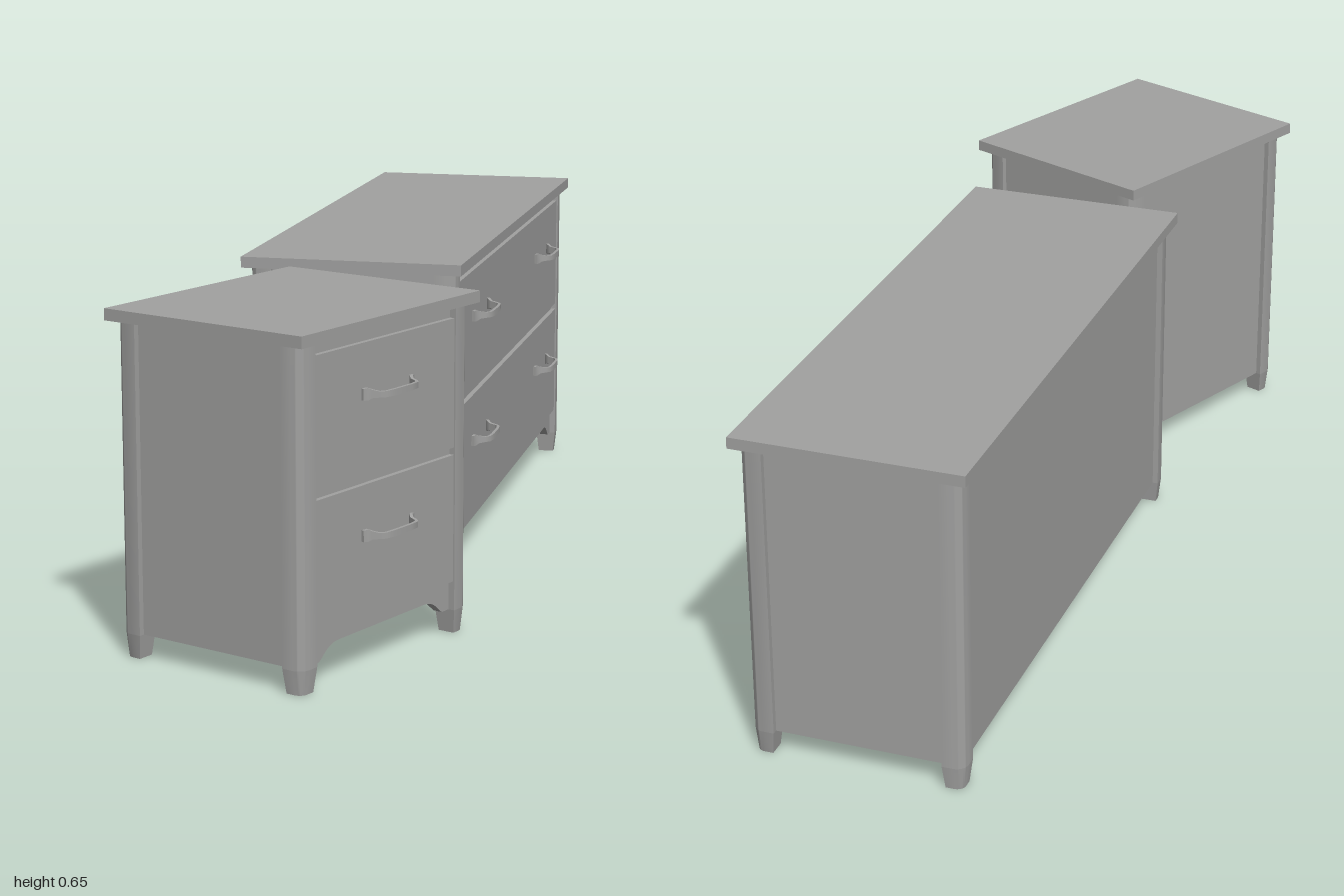
import * as THREE from 'three';
import { toCreasedNormals } from 'three/addons/utils/BufferGeometryUtils.js';

const grey = new THREE.MeshStandardMaterial({ color: 0xa1a1a0 });
grey.name = 'paintedGrey';

const DEPTH = 0.444, OVERHANG = 0.014, LEG = 0.044, RECESS = 0.011, PANEL = 0.018;
const FOOT = 0.046, TOP = 0.627, HEIGHT = 0.649;

function add(parent, name, geometry, x = 0, y = 0, z = 0) {
  const mesh = new THREE.Mesh(geometry, grey);
  mesh.name = name;
  mesh.position.set(x, y, z);
  parent.add(mesh);
  return mesh;
}

// Box given by its width, vertical span and depth span
function slab(parent, name, x, w, y0, y1, z0, z1) {
  return add(parent, name, new THREE.BoxGeometry(w, y1 - y0, z1 - z0), x, (y0 + y1) / 2, (z0 + z1) / 2);
}

// Square post with one rounded outer corner, optionally tapering downwards
function postGeometry(height, taper) {
  const h = LEG / 2, r = 0.022;
  const s = new THREE.Shape();
  s.moveTo(-h, -h);
  s.lineTo(h, -h);
  s.lineTo(h, h - r);
  s.absarc(h - r, h - r, r, 0, Math.PI / 2, false);
  s.lineTo(-h, h);
  s.closePath();
  const g = new THREE.ExtrudeGeometry(s, { depth: height, bevelEnabled: false, curveSegments: 8 });
  g.rotateX(-Math.PI / 2);
  const p = g.attributes.position;
  for (let i = 0; i < p.count; i++) {
    const k = taper + (1 - taper) * p.getY(i) / height;
    p.setX(i, p.getX(i) * k);
    p.setZ(i, p.getZ(i) * k);
  }
  return toCreasedNormals(g, 0.5);
}

// Bowed bar handle with flared end tabs, lofted from rectangles: [along, out, height]
function handleGeometry() {
  const half = [[-0.077, 0.001, 0.021], [-0.067, 0.004, 0.023], [-0.060, 0.011, 0.015],
    [-0.056, 0.023, 0.011], [-0.048, 0.030, 0.011], [-0.025, 0.033, 0.012]];
  const path = [...half, ...half.slice().reverse().map(([a, o, h]) => [-a, o, h])];
  const t = 0.003, pos = [], idx = [];
  path.forEach(([a, o, h], i) => {
    const p = path[Math.max(i - 1, 0)], q = path[Math.min(i + 1, path.length - 1)];
    const len = Math.hypot(q[0] - p[0], q[1] - p[1]);
    const nx = -(q[1] - p[1]) / len * t, nz = (q[0] - p[0]) / len * t;
    for (const [side, up] of [[1, -1], [1, 1], [-1, 1], [-1, -1]]) {
      pos.push(a + nx * side, up * h / 2, o + nz * side);
    }
    if (i > 0) {
      for (let k = 0; k < 4; k++) {
        const A = (i - 1) * 4 + k, B = (i - 1) * 4 + (k + 1) % 4;
        idx.push(A, A + 4, B, B, A + 4, B + 4);
      }
    }
  });
  const e = (path.length - 1) * 4;
  idx.push(0, 1, 2, 0, 2, 3, e, e + 2, e + 1, e, e + 3, e + 2);
  const g = new THREE.BufferGeometry();
  g.setAttribute('position', new THREE.Float32BufferAttribute(pos, 3));
  g.setIndex(idx);
  return toCreasedNormals(g, 0.7);
}

// Front apron with a shallow arch cut into its lower edge
function apronGeometry(w, y0, y1) {
  const a = w / 2, rise = y0 + 0.028, foot = a - 0.022, flat = a - 0.08;
  const s = new THREE.Shape();
  s.moveTo(-a, y0);
  s.lineTo(-foot, y0);
  s.bezierCurveTo(-foot + 0.014, y0 + 0.008, -flat - 0.032, rise, -flat, rise);
  s.lineTo(flat, rise);
  s.bezierCurveTo(flat + 0.032, rise, foot - 0.014, y0 + 0.008, foot, y0);
  s.lineTo(a, y0);
  s.lineTo(a, y1);
  s.lineTo(-a, y1);
  s.closePath();
  const g = new THREE.ExtrudeGeometry(s, { depth: PANEL, bevelEnabled: false, curveSegments: 10 });
  return toCreasedNormals(g, 0.5);
}

// Chest of two drawers, drawer fronts facing +z
function chest(name, width, handleOffsets) {
  const g = new THREE.Group();
  g.name = name;
  const hx = width / 2 - OVERHANG, hz = DEPTH / 2 - OVERHANG;
  const inner = 2 * (hx - LEG), railZ = hz - RECESS - 0.002;

  slab(g, 'top', 0, width, TOP, HEIGHT, -DEPTH / 2, DEPTH / 2);

  // Corner posts and tapered feet
  const post = postGeometry(TOP - FOOT, 1), foot = postGeometry(FOOT, 0.76);
  [[1, -1], [-1, -1], [-1, 1], [1, 1]].forEach(([sx, sz], k) => {
    const x = sx * (hx - LEG / 2), z = sz * (hz - LEG / 2);
    add(g, 'cornerPost', post, x, FOOT, z).rotation.y = k * Math.PI / 2;
    add(g, 'foot', foot, x, 0, z).rotation.y = k * Math.PI / 2;
  });

  // Side, back and raised bottom panels, set in from the posts
  for (const s of [-1, 1]) {
    slab(g, 'sidePanel', s * (hx - RECESS - PANEL / 2), PANEL, FOOT, TOP, -hz + LEG, hz - LEG);
  }
  slab(g, 'backPanel', 0, inner, FOOT, TOP, -hz + RECESS, -hz + RECESS + PANEL);
  slab(g, 'bottomPanel', 0, 2 * (hx - RECESS - PANEL), 0.142, 0.152, -hz + RECESS + PANEL, railZ - PANEL);

  // Recessed front rails and apron
  slab(g, 'topRail', 0, inner, 0.595, TOP, railZ - PANEL, railZ);
  slab(g, 'middleRail', 0, inner, 0.335, 0.37, railZ - PANEL, railZ);
  add(g, 'apron', apronGeometry(inner, FOOT, 0.11), 0, 0, railZ - PANEL);

  // Drawer fronts and handles
  const handle = handleGeometry(), face = hz - 0.003;
  for (const [y0, y1, hy] of [[0.102, 0.346, 0.254], [0.36, 0.604, 0.512]]) {
    slab(g, 'drawerFront', 0, inner, y0, y1, railZ - PANEL, face);
    for (const x of handleOffsets) add(g, 'drawerHandle', handle, x, hy, face + 0.002);
  }
  return g;
}

export function createModel() {
  const model = new THREE.Group();
  model.name = 'bedroomChests';

  const wide = chest('wideChest', 1.243, [-0.35, 0.355]);
  wide.position.set(-0.002, 0, -0.3785);
  wide.rotation.y = Math.PI / 2;

  const small = chest('bedsideChest', 0.541, [0]);
  small.position.set(0, 0, 0.665);
  small.rotation.y = Math.PI / 2 - 0.395;

  model.add(wide, small);
  return model;
}
